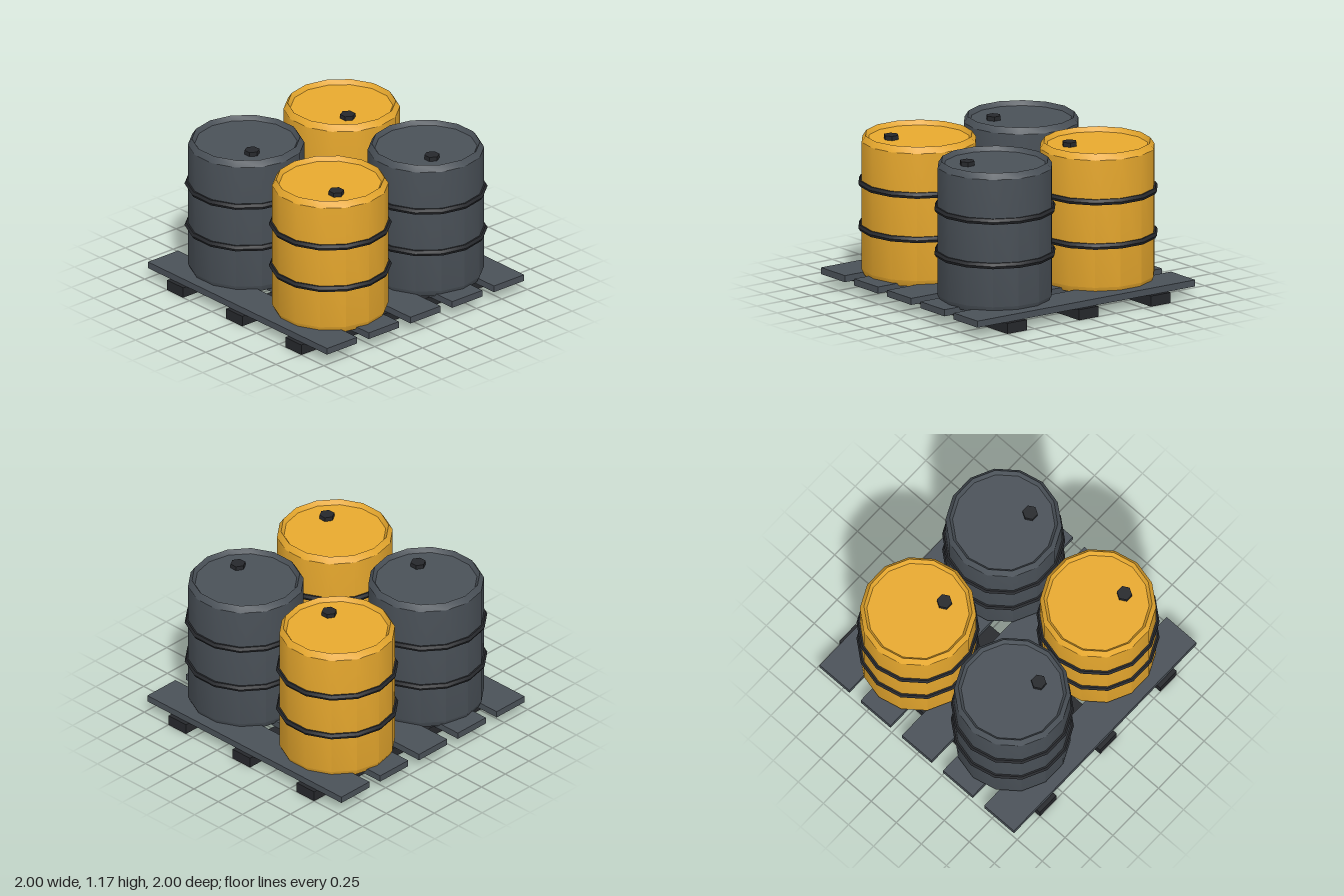
import * as THREE from 'three';
import { toCreasedNormals } from 'three/addons/utils/BufferGeometryUtils.js';

const SIDES = 14;
const yellow = new THREE.MeshStandardMaterial({ color: 0xe8a92e });
const slate = new THREE.MeshStandardMaterial({ color: 0x4a5158 });
const dark = new THREE.MeshStandardMaterial({ color: 0x26282c });

function add(parent, name, geometry, material, x = 0, y = 0, z = 0) {
  const mesh = new THREE.Mesh(geometry, material);
  mesh.name = name;
  mesh.position.set(x, y, z);
  parent.add(mesh);
  return mesh;
}

// Closed drum profile: base, chamfered wall, rim and recessed lid
const profile = [
  [0, 0.11], [0.405, 0.11], [0.43, 0.16], [0.43, 1.13],
  [0.4, 1.175], [0.378, 1.14], [0, 1.14],
].map(([r, y]) => new THREE.Vector2(r, y));
const drumGeometry = toCreasedNormals(
  new THREE.LatheGeometry(profile, SIDES).rotateY(Math.PI / 2), 0.55);

// Faceted hoop around the drum and hexagonal cap on the lid
const hoopGeometry = toCreasedNormals(
  new THREE.TorusGeometry(0.43, 0.025, 6, SIDES).rotateX(Math.PI / 2), 0.55);
const capGeometry = toCreasedNormals(
  new THREE.CylinderGeometry(0.057, 0.057, 0.04, 6).rotateY(Math.PI / 2), 0.55);

function createBarrel(material) {
  const barrel = new THREE.Group();
  barrel.name = 'barrel';
  add(barrel, 'drum', drumGeometry, material);
  for (const y of [0.475, 0.813]) add(barrel, 'hoop', hoopGeometry, dark, 0, y, 0);
  add(barrel, 'cap', capGeometry, dark, 0.18, 1.153, 0.1);
  return barrel;
}

function createPallet() {
  const pallet = new THREE.Group();
  pallet.name = 'pallet';
  // Runners along z
  const runner = new THREE.BoxGeometry(0.18, 0.08, 2);
  for (const x of [-0.66, 0, 0.66]) add(pallet, 'runner', runner, dark, x, 0.04, 0);
  // Deck slats along x
  const slat = new THREE.BoxGeometry(2, 0.05, 0.296);
  for (let i = -2; i <= 2; i++) add(pallet, 'slat', slat, slate, 0, 0.105, i * 0.41);
  return pallet;
}

export function createModel() {
  const model = new THREE.Group();
  model.name = 'barrelPallet';
  model.add(createPallet());
  // Four barrels, coloured in a chequer pattern
  for (const sx of [-1, 1]) {
    for (const sz of [-1, 1]) {
      const barrel = createBarrel(sx === sz ? yellow : slate);
      barrel.position.set(sx * 0.47, 0, sz * 0.47);
      model.add(barrel);
    }
  }
  return model;
}
